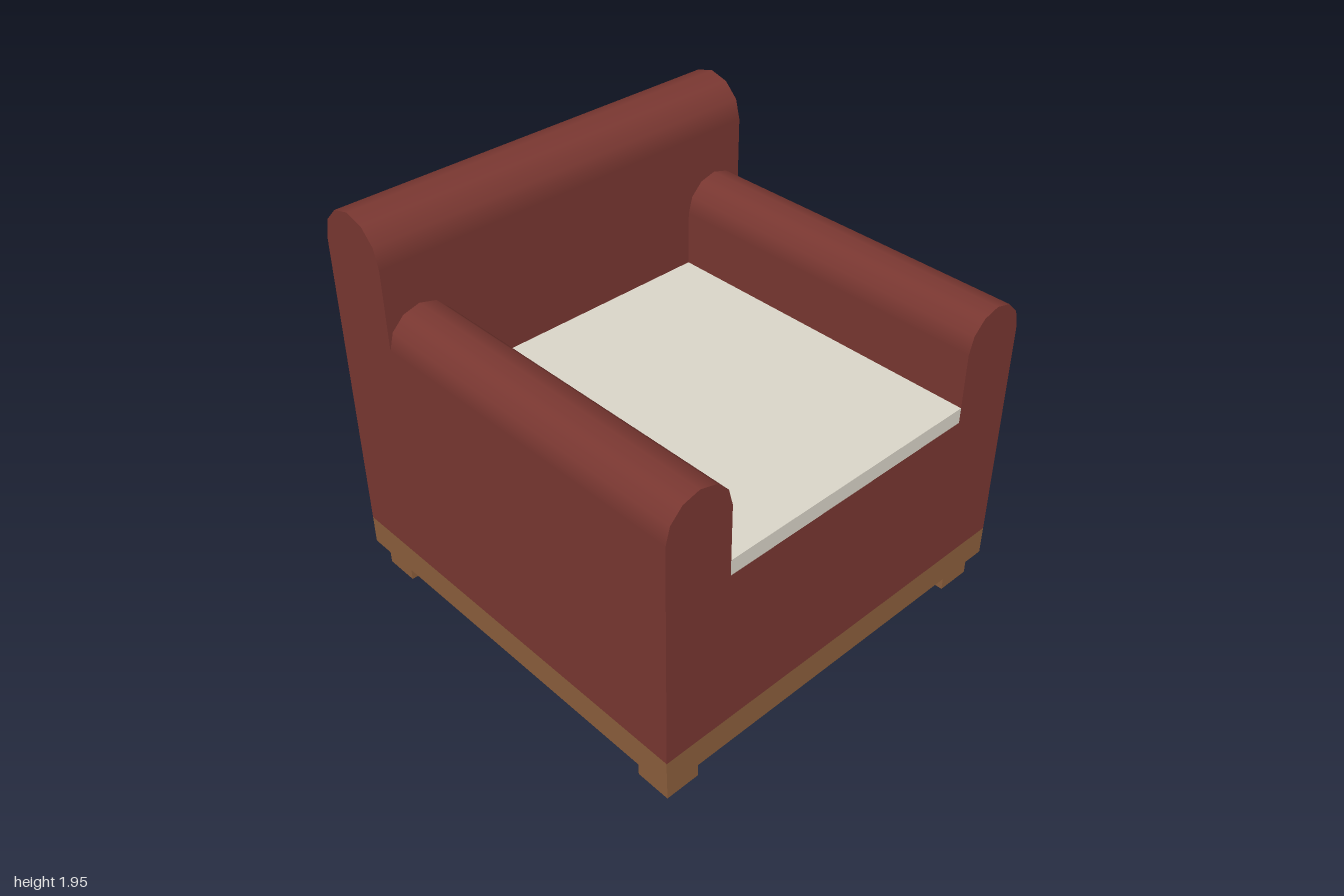
import * as THREE from 'three';

const red = new THREE.MeshStandardMaterial({ color: 0x793731 });
red.name = 'red upholstery';
const wood = new THREE.MeshStandardMaterial({ color: 0x8b5e3c });
wood.name = 'brown wood';
const cream = new THREE.MeshStandardMaterial({ color: 0xdad5c8 });
cream.name = 'cream fabric';

const BODY_Y = 0.275; // top of the wooden base
const BASE_Y = 0.13; // lower edge of the wooden base
const BACK_Z = -0.63; // front face of the backrest
const ARM_X = 0.675; // inner face of the arms

// Box given by its minimum and maximum corners
function box(name, material, [x0, y0, z0], [x1, y1, z1]) {
  const mesh = new THREE.Mesh(new THREE.BoxGeometry(x1 - x0, y1 - y0, z1 - z0), material);
  mesh.position.set((x0 + x1) / 2, (y0 + y1) / 2, (z0 + z1) / 2);
  mesh.name = name;
  return mesh;
}

// Upright padded wall with a half-round top, running along z
function roundedWall(name, width, length, topY) {
  const group = new THREE.Group();
  group.name = name;
  const r = width / 2;
  const springY = topY - r;
  group.add(box(name + 'Panel', red, [-r, BODY_Y, -length / 2], [r, springY, length / 2]));
  const roll = new THREE.CylinderGeometry(r, r, length, 6, 1, false, Math.PI / 2, Math.PI);
  roll.rotateX(Math.PI / 2);
  const top = new THREE.Mesh(roll, red);
  top.name = name + 'Roll';
  top.position.y = springY;
  group.add(top);
  return group;
}

export function createModel() {
  const chair = new THREE.Group();
  chair.name = 'armchair';

  // Backrest across the full width
  const back = roundedWall('backrest', 1 + BACK_Z, 2, 1.95);
  back.rotation.y = Math.PI / 2;
  back.position.z = (BACK_Z - 1) / 2;
  chair.add(back);

  // Arms
  for (const [side, s] of [['left', 1], ['right', -1]]) {
    const arm = roundedWall(side + 'Arm', 1 - ARM_X, 1 - BACK_Z, 1.55);
    arm.position.set(s * (1 + ARM_X) / 2, 0, (1 + BACK_Z) / 2);
    chair.add(arm);
  }

  // Seat block and cushion between the arms
  chair.add(box('seatBlock', red, [-ARM_X, BODY_Y, BACK_Z], [ARM_X, 1.05, 1]));
  chair.add(box('seatCushion', cream, [-ARM_X, 1.05, BACK_Z], [ARM_X, 1.125, 1]));

  // Wooden base: thin skirt around a recessed floor
  const t = 0.008;
  chair.add(box('baseFloor', wood, [-1, BODY_Y - t, -1], [1, BODY_Y, 1]));
  chair.add(box('frontSkirt', wood, [-1, BASE_Y, 1 - t], [1, BODY_Y, 1]));
  chair.add(box('backSkirt', wood, [-1, BASE_Y, -1], [1, BODY_Y, -1 + t]));
  chair.add(box('leftSkirt', wood, [1 - t, BASE_Y, -1 + t], [1, BODY_Y, 1 - t]));
  chair.add(box('rightSkirt', wood, [-1, BASE_Y, -1 + t], [-1 + t, BODY_Y, 1 - t]));

  // Square feet, reaching up to the floor
  for (const x of [-0.875, 0.875]) {
    for (const z of [-0.875, 0.875]) {
      const name = (z > 0 ? 'front' : 'back') + (x > 0 ? 'Left' : 'Right') + 'Foot';
      chair.add(box(name, wood, [x - 0.085, 0, z - 0.085], [x + 0.085, BODY_Y - t, z + 0.085]));
    }
  }
  return chair;
}
